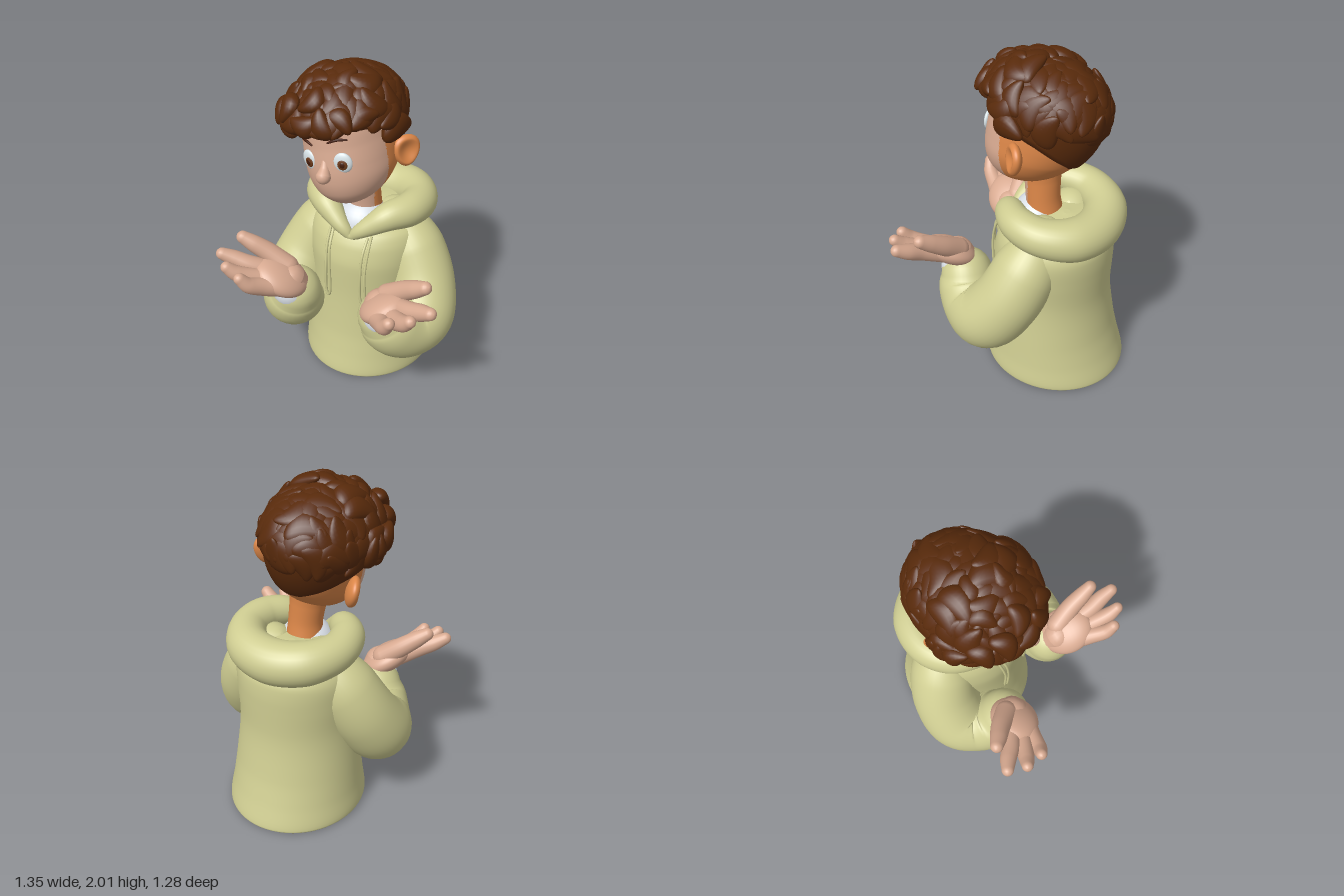
import * as THREE from 'three';
import { mergeGeometries } from 'three/addons/utils/BufferGeometryUtils.js';

const V = (x, y, z) => new THREE.Vector3(x, y, z);
const mat = (name, color) => Object.assign(new THREE.MeshStandardMaterial({ color }), { name });

// Skin a list of rings (arrays of points, counter-clockwise about the travel direction)
function skin(rings, closed = false) {
  const m = rings[0].length, n = rings.length, pos = [], idx = [];
  rings.forEach(r => r.forEach(p => pos.push(p.x, p.y, p.z)));
  for (let i = 0; i < (closed ? n : n - 1); i++) for (let j = 0; j < m; j++) {
    const k = (i + 1) % n, l = (j + 1) % m;
    const a = i * m + j, b = i * m + l, c = k * m + l, d = k * m + j;
    idx.push(a, b, d, b, c, d);
  }
  if (!closed) [0, n - 1].forEach(e => {
    const s = pos.length / 3, mid = V(0, 0, 0);
    rings[e].forEach(p => { pos.push(p.x, p.y, p.z); mid.addScaledVector(p, 1 / m); });
    pos.push(mid.x, mid.y, mid.z);
    for (let j = 0; j < m; j++) {
      const a = s + j, b = s + (j + 1) % m;
      if (e) idx.push(a, b, s + m); else idx.push(b, a, s + m);
    }
  });
  const g = new THREE.BufferGeometry();
  g.setAttribute('position', new THREE.Float32BufferAttribute(pos, 3));
  g.setIndex(idx);
  g.computeVertexNormals();
  return g;
}

// Upright loft through rows of [y, half width, front z, back z]
function loft(rows, n = 40, m = 64) {
  const A = new THREE.CatmullRomCurve3(rows.map(r => V(r[0], r[1], 0)));
  const B = new THREE.CatmullRomCurve3(rows.map(r => V(r[2], r[3], 0)));
  return skin(Array.from({ length: n + 1 }, (_, i) => {
    const a = A.getPoint(i / n), b = B.getPoint(i / n);
    return Array.from({ length: m }, (_, j) => {
      const t = j / m * Math.PI * 2;
      return V(Math.sin(t) * a.y, a.x, (b.x + b.y) / 2 + Math.cos(t) * (b.x - b.y) / 2);
    });
  }));
}

// Round tube of varying radius through [x, y, z, r] points, with domed ends unless closed
function tube(pts, closed = false, n = 28, m = 20) {
  const curve = new THREE.CatmullRomCurve3(pts.map(p => V(p[0], p[1], p[2])), closed);
  const rad = new THREE.CatmullRomCurve3(pts.map(p => V(p[3], 0, 0)), closed);
  const f = curve.computeFrenetFrames(n, closed), rings = [];
  const ring = (i, shift, k) => {
    const c = curve.getPointAt(i / n), r = rad.getPoint(curve.getUtoTmapping(i / n)).x;
    c.addScaledVector(f.tangents[i], shift * r);
    rings.push(Array.from({ length: m }, (_, j) => {
      const t = j / m * Math.PI * 2;
      return c.clone().addScaledVector(f.normals[i], Math.cos(t) * r * k).addScaledVector(f.binormals[i], Math.sin(t) * r * k);
    }));
  };
  if (!closed) for (let k = 5; k > 0; k--) ring(0, -Math.sin(k * 0.3), Math.cos(k * 0.3));
  for (let i = 0; i < (closed ? n : n + 1); i++) ring(i, 0, 1);
  if (!closed) for (let k = 1; k < 6; k++) ring(n, Math.sin(k * 0.3), Math.cos(k * 0.3));
  return skin(rings, closed);
}

// Split a geometry into two material groups by a test on the face centre
function split(g, test) {
  const p = g.attributes.position, sets = [[], []], v = V(0, 0, 0), c = V(0, 0, 0);
  for (let i = 0; i < g.index.count; i += 3) {
    const t = [0, 1, 2].map(k => g.index.getX(i + k));
    c.set(0, 0, 0);
    t.forEach(k => c.addScaledVector(v.fromBufferAttribute(p, k), 1 / 3));
    sets[test(c) ? 0 : 1].push(...t);
  }
  g.setIndex(sets.flat());
  g.addGroup(0, sets[0].length, 0);
  g.addGroup(sets[0].length, sets[1].length, 1);
  return g;
}

const ball = (x, y, z, rx, ry, rz) => new THREE.SphereGeometry(1, 28, 20).scale(rx, ry, rz).translate(x, y, z);

export function createModel() {
  const cloth = mat('hoodie green', 0xcfcd92), face = mat('face skin', 0xd8aa91), warm = mat('warm skin', 0xdb8648);
  const hair = mat('hair brown', 0x582a0b), white = mat('shirt white', 0xdde3ea), eyeWhite = mat('eye white', 0xd9e4e8);
  const iris = mat('iris brown', 0x6b3a1a), dark = mat('brow brown', 0x431c0c);
  const model = new THREE.Group();
  const add = (parent, name, geo, material) => {
    const mesh = new THREE.Mesh(geo, material);
    mesh.name = name;
    parent.add(mesh);
    return mesh;
  };

  // Hoodie body, shirt and neck
  add(model, 'hoodieBody', loft([[0, .4, .23, -.635], [.015, .41, .24, -.645], [.15, .395, .215, -.605], [.3, .38, .19, -.565],
    [.6, .355, .17, -.525], [.8, .365, .17, -.53], [.93, .36, .14, -.525], [1.0, .33, .095, -.49], [1.05, .25, 0, -.45],
    [1.08, .17, -.1, -.42], [1.1, .02, -.24, -.28]], 56), cloth);
  add(model, 'shirt', ball(0, 1, -.075, .17, .155, .155), white);
  add(model, 'neck', split(tube([[0, 1.05, -.11, .11], [0, 1.16, -.1, .1], [-.01, 1.27, -.09, .105], [-.02, 1.36, -.08, .12]], false, 28, 48),
    c => c.z > -.05), [face, warm]);

  // Rolled hood: a closed ring, thick behind and narrow at the V
  const half = [[.05, 1.025, .085, .043], [.115, 1.07, .055, .062], [.195, 1.118, 0, .085], [.275, 1.122, -.11, .1], [.285, 1.105, -.26, .108], [.18, 1.08, -.41, .125]];
  add(model, 'hood', tube([[0, .985, .085, .03], ...half, [0, 1.065, -.46, .13],
    ...half.map(([x, y, z, r]) => [-x, y, z, r]).reverse()], true, 96, 28), cloth);

  for (const s of [1, -1]) {
    const side = s > 0 ? 'left' : 'right';
    const flip = pts => pts.map(([x, y, z, r]) => [x * s, y, z, r]);

    // Drawstring loop
    add(model, side + 'Drawstring', tube(flip([[.11, 1.0, .1, .008], [.105, .92, .16, .008], [.1, .8, .18, .008], [.1, .6, .178, .008], [.113, .565, .175, .008],
      [.125, .6, .174, .008], [.125, .8, .174, .008], [.13, .93, .14, .008], [.13, 1.01, .09, .008]]), false, 60, 8), cloth);

    // Sleeve and shirt cuff
    add(model, side + 'Sleeve', tube(flip([[.17, .985, -.2, .14], [.29, .83, -.17, .19], [.385, .64, -.1, .2], [.42, .49, .02, .208],
      [.37, .475, .14, .198], [.315, .55, .235, .18], [.29, .61, .26, .155]]), false, 48, 36), cloth);
    add(model, side + 'Cuff', tube(flip([[.3, .6, .26, .115], [.295, .645, .305, .115]])), white);

    // Hand with palm up: wrist, flat palm, thumb and three fingers
    const hand = new THREE.Group();
    hand.name = side + 'Hand';
    model.add(hand);
    const d = V(.31 * s, .22, .28).normalize(), w = V(.67 * s, .36, -.67);
    w.addScaledVector(d, -w.dot(d)).normalize();
    const basis = new THREE.Matrix4().makeBasis(d, w, d.clone().cross(w)).setPosition(.325 * s, .765, .35);
    add(hand, 'palm', new THREE.SphereGeometry(1, 32, 24).scale(.17, .145, .078).applyMatrix4(basis), face);
    const digits = {
      wrist: [[.26, .66, .28, .085], [.29, .74, .32, .095]],
      thumb: [[.32, .8, .29, .065], [.43, .885, .315, .058], [.51, .945, .345, .05], [.565, .985, .365, .038]],
      indexFinger: [[.38, .785, .35, .062], [.5, .845, .42, .054], [.58, .885, .45, .048], [.64, .92, .48, .036]],
      middleFinger: [[.36, .765, .4, .062], [.46, .815, .49, .054], [.52, .86, .54, .046], [.56, .905, .565, .034]],
      littleFinger: [[.3, .74, .41, .062], [.37, .78, .5, .053], [.42, .825, .57, .046], [.455, .88, .6, .034]],
    };
    for (const k in digits) add(hand, k, tube(flip(digits[k])), face);
  }

  // Head, tilted and slightly turned
  const head = new THREE.Group();
  head.name = 'head';
  const skull = add(head, 'skull', split(loft([[-.24, .02, .19, .13], [-.232, .08, .235, .05], [-.2, .15, .285, -.05], [-.14, .21, .33, -.14], [-.06, .25, .35, -.22],
    [.03, .262, .35, -.27], [.14, .266, .335, -.3], [.25, .262, .325, -.31], [.35, .2, .26, -.25], [.4, .02, .03, -.01]], 72, 160), c => c.z > .11), [face, warm]);
  const ray = new THREE.Raycaster();
  const onFace = (x, y) => {
    ray.set(V(x, y, 2), V(0, 0, -1));
    return ray.intersectObject(skull)[0].point.z;
  };
  add(head, 'nose', tube([[0, .085, .325, .016], [0, .04, .345, .027], [0, .005, .37, .042]]), face);

  for (const s of [1, -1]) {
    const side = s > 0 ? 'left' : 'right';
    // Eye
    const eye = new THREE.Group();
    eye.name = side + 'Eye';
    eye.position.set(.106 * s, .07, onFace(.106 * s, .07) - .004);
    eye.rotation.y = .3 * s;
    head.add(eye);
    add(eye, 'eyeball', ball(0, 0, 0, .052, .058, .02), eyeWhite);
    add(eye, 'iris', ball(.005 - .006 * s, -.006, .016, .028, .03, .007), iris);
    add(eye, 'pupil', ball(.005 - .006 * s, -.006, .021, .014, .016, .005), dark);
    // Brow
    add(head, side + 'Brow', tube([[.055, .175, .006], [.1, .188, .009], [.15, .18, .005]].map(([x, y, r]) =>
      [x * s - .012, y + .012 * s, onFace(x * s - .012, y + .012 * s) + .002, r]), false, 16, 10), dark);
    // Ear: flattened ball with a hollow outer face
    const ear = new THREE.SphereGeometry(1, 40, 32), p = ear.attributes.position;
    for (let i = 0; i < p.count; i++) {
      const q = Math.hypot(p.getY(i), p.getZ(i));
      if (p.getX(i) * s > 0) p.setX(i, p.getX(i) * (1 - .9 * Math.max(0, 1 - (q / .8) ** 2)));
      p.setZ(i, p.getZ(i) * (1 + .2 * p.getY(i)));
    }
    ear.scale(.042, .092, .08).computeVertexNormals();
    const e = add(head, side + 'Ear', ear, warm);
    e.position.set(.295 * s, -.005, -.025);
    e.rotation.set(-.15, -.6 * s, -.12 * s);
  }

  // Hair cap with a hairline that drops from the forehead to the nape
  const line = [.25, .25, .24, .22, .13, .08, .01, -.05, -.065], cy = .22;
  const edge = a => {
    const t = Math.abs(a) / Math.PI * 8, i = Math.min(7, Math.floor(t));
    return THREE.MathUtils.lerp(line[i], line[i + 1], t - i);
  };
  const dome = (a, e) => V(.295 * Math.cos(e) * Math.sin(a) - .012, cy + Math.sin(e) * (e > 0 ? .25 : .4),
    .02 + Math.cos(e) * Math.cos(a) * (Math.cos(a) > 0 ? .36 : .365));
  const rings = [];
  for (let i = -1; i <= 24; i++) rings.push(Array.from({ length: 64 }, (_, j) => {
    const a = (j / 64 * 2 - 1) * Math.PI, y = edge(a) - cy;
    const low = Math.asin(y / (y > 0 ? .25 : .4));
    const q = dome(a, THREE.MathUtils.lerp(low, 1.565, Math.max(0, i) / 24));
    return i < 0 ? V(q.x * .82, q.y + .01, q.z * .82) : q;
  }));
  add(head, 'hairCap', skin(rings), hair);

  // Curls: bent, tapered locks scattered over the cap
  let seed = 7;
  const rnd = () => (seed = seed * 16807 % 2147483647) / 2147483647;
  const curls = [];
  const curl = (at, out, len, wide, thick) => {
    const g = new THREE.SphereGeometry(1, 18, 14), p = g.attributes.position, bend = .3 + .35 * rnd();
    for (let i = 0; i < p.count; i++) {
      const y = p.getY(i);
      p.setXYZ(i, p.getX(i) * (1 - .3 * y) + bend * y * y, y, p.getZ(i) * (1 - .2 * y) + .3 * y);
    }
    g.scale(wide, len, thick).rotateZ(rnd() * 6.28);
    g.applyQuaternion(new THREE.Quaternion().setFromUnitVectors(V(0, 0, 1), out)).translate(at.x, at.y, at.z);
    g.computeVertexNormals();
    curls.push(g);
  };
  for (let i = 0; i < 130; i++) {
    const h = 1 - 1.15 * (i + .5) / 130, a = (i * 2.39996) % (Math.PI * 2) - Math.PI, e = Math.asin(h);
    const at = dome(a, e), front = Math.cos(a) > 0;
    if (at.y < edge(a) + .035 || (!front && at.y < .17)) continue;
    const out = V(at.x / .09, (at.y - cy) / .07, at.z / .14).normalize();
    const k = .85 + .4 * rnd();
    curl(at.addScaledVector(out, front ? .02 * rnd() : -.004), out, .09 * k, .062 * k, (front ? .04 : .028) * k);
  }
  // Fringe swept to one side, and a crown tuft
  [[-.33, .25, .07], [-.31, .19, .1], [-.32, .3, .14], [-.27, .25, .22], [-.2, .28, .31], [-.24, .34, .27], [-.12, .3, .365], [-.04, .3, .39],
    [.06, .31, .375], [.15, .32, .32], [.22, .31, .23], [-.14, .38, .34], [0, .4, .32], [.1, .455, .15], [.02, .465, .08], [-.1, .45, .18]].forEach(([x, y, z]) =>
    curl(V(x, y, z), V(x * 1.2, y - .15, z).normalize(), .085, .058, .048));
  add(head, 'curls', mergeGeometries(curls), hair);

  head.rotation.set(0, -.1, .19, 'ZYX');
  head.position.set(-.03, 1.48, -.08);
  model.add(head);
  return model;
}
